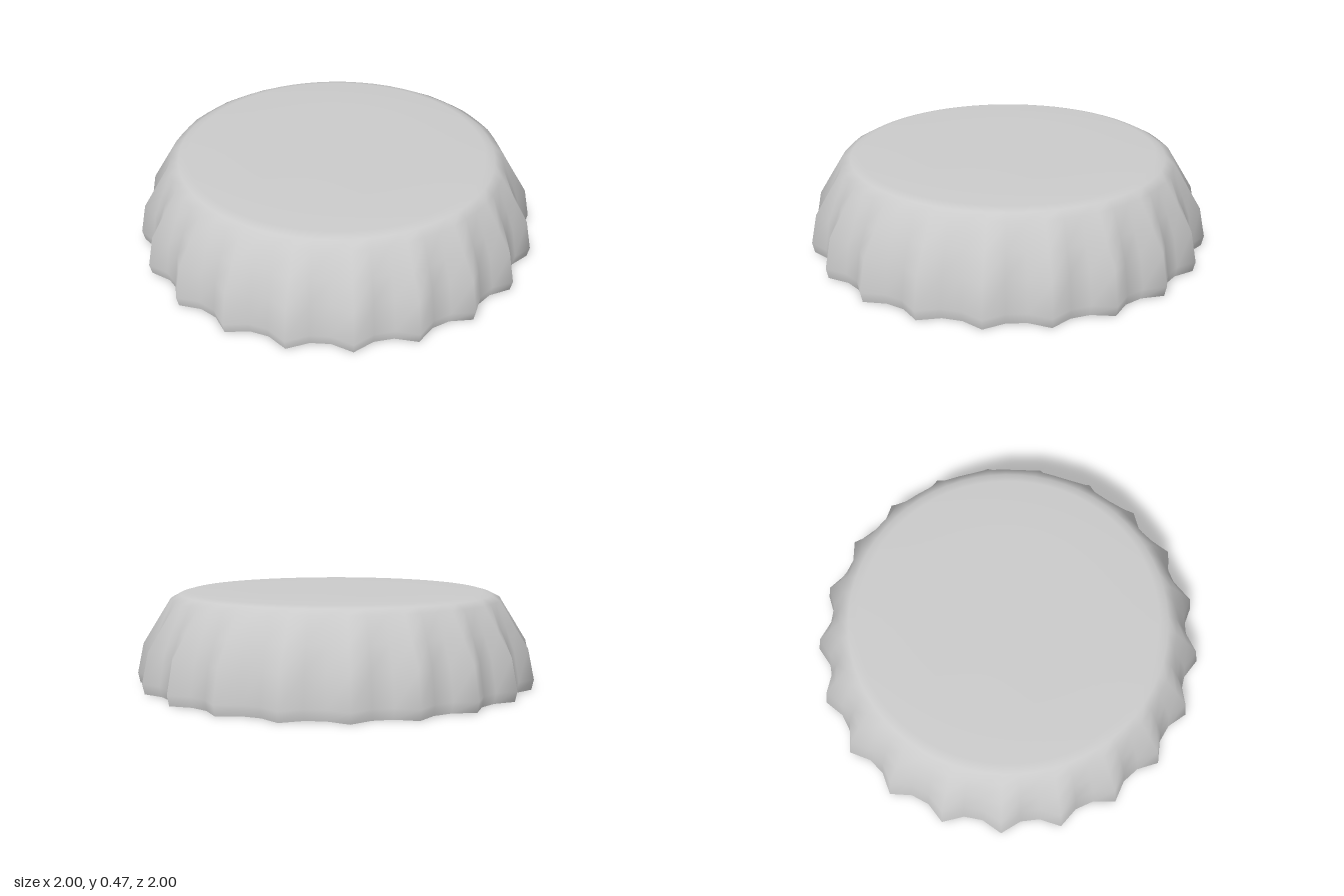
import * as THREE from 'three';

const TEETH = 21;
const SEGMENTS = TEETH * 3; // one crest and two valley points per tooth
const WALL = 0.013;

// Rings from the hem to the crown: [height, crest radius, valley radius]
const OUTER = [
  [0, 0.993, 0.938],
  [0.05, 1.004, 0.948],
  [0.2, 0.972, 0.921],
  [0.31, 0.904, 0.878],
  [0.425, 0.832, 0.828],
  [0.448, 0.785, 0.785],
  [0.46, 0.74, 0.74],
  [0.465, 0.47, 0.47],
  [0.468, 0, 0],
];

// Same rings pulled in by the sheet thickness
const INNER = OUTER.map(([y, crest, valley]) => [
  y < 0.4 ? y : y - WALL,
  Math.max(0, crest - WALL),
  Math.max(0, valley - WALL),
]);

// Skin a stack of fluted rings; vertices are shared so the shading is smooth
function fluted(rings, flip = false) {
  const positions = [];
  const index = [];
  for (const [y, crest, valley] of rings) {
    for (let i = 0; i < SEGMENTS; i++) {
      const angle = (i / SEGMENTS) * Math.PI * 2;
      const r = i % 3 === 0 ? crest : valley;
      positions.push(r * Math.cos(angle), y, -r * Math.sin(angle));
    }
  }
  for (let j = 0; j < rings.length - 1; j++) {
    for (let i = 0; i < SEGMENTS; i++) {
      const next = (i + 1) % SEGMENTS;
      const a = j * SEGMENTS + i;
      const b = j * SEGMENTS + next;
      const c = a + SEGMENTS;
      const d = b + SEGMENTS;
      const closing = rings[j + 1][1] === 0; // last ring is a point
      const faces = closing ? [[a, b, c]] : [[a, b, d], [a, d, c]];
      for (const [p, q, s] of faces) index.push(...(flip ? [p, s, q] : [p, q, s]));
    }
  }
  const geometry = new THREE.BufferGeometry();
  geometry.setAttribute('position', new THREE.Float32BufferAttribute(positions, 3));
  geometry.setIndex(index);
  geometry.computeVertexNormals();
  return geometry;
}

export function createModel() {
  const group = new THREE.Group();
  group.name = 'bottleCap';
  const material = new THREE.MeshStandardMaterial({ color: 0xcccccc });

  const add = (name, geometry) => {
    const mesh = new THREE.Mesh(geometry, material);
    mesh.name = name;
    mesh.position.x = -0.0055; // odd tooth count, so centre the width
    group.add(mesh);
  };

  add('outerShell', fluted(OUTER));
  add('innerShell', fluted(INNER, true));
  // Thin edge joining both skins at the bottom
  add('hem', fluted([INNER[0], OUTER[0]]));
  return group;
}
